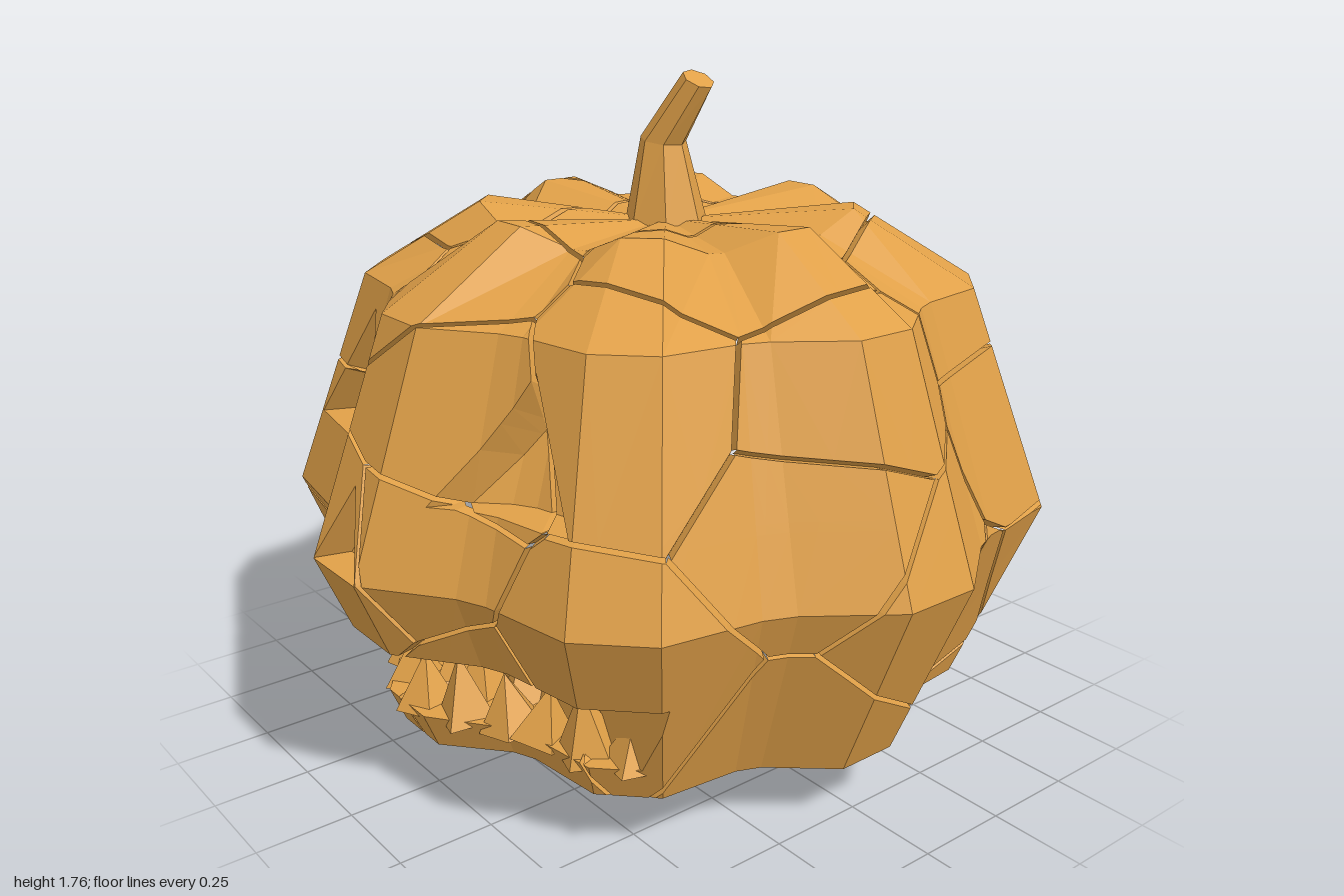
import * as THREE from 'three';

const V = (x, y, z) => new THREE.Vector3(x, y, z);
const material = new THREE.MeshStandardMaterial({ color: 0xe0a048, flatShading: true });
const EPS = 1e-6;

// seeded random numbers in 0..1
let seed = 7;
const rnd = () => (seed = (seed * 16807) % 2147483647) / 2147483647;

// a plane keeps the side where n.p <= c
const plane = (nx, ny, nz, c) => ({ n: V(nx, ny, nz), c });
const dist = (pl, p) => pl.n.dot(p) - pl.c;

// the part of a convex polygon on the kept side of a plane (sign -1 keeps the other side)
function clip(poly, pl, sign = 1) {
  const out = [];
  poly.forEach((a, i) => {
    const b = poly[(i + 1) % poly.length];
    const da = sign * dist(pl, a), db = sign * dist(pl, b);
    if (da <= EPS) out.push(a);
    if ((da < -EPS && db > EPS) || (da > EPS && db < -EPS)) out.push(a.clone().lerp(b, da / (da - db)));
  });
  return out.length > 2 ? out : [];
}

// edges of a polygon that lie in a plane
function edgesOn(poly, pl) {
  return poly
    .map((a, i) => [a, poly[(i + 1) % poly.length]])
    .filter((e) => e.every((p) => Math.abs(dist(pl, p)) < 1e-5));
}

// ribbed skin: eight lobes, each with a flat crest and a narrow valley
function skin() {
  const angles = [];
  for (let i = 0; i < 8; i++) {
    for (const [deg, valley] of [[-5.9, 0], [5.9, 0], [19.9, 1], [25.1, 1]]) {
      angles.push([((i * 45 + deg) * Math.PI) / 180, valley]);
    }
  }
  // radius, height, valley radius factor, valley height
  const rings = [
    [0.48, 0, 0.88, 0.04], [0.795, 0.16, 0.9, 0.17], [1.005, 0.66, 0.9, 0.66],
    [0.795, 1.235, 0.9, 1.235], [0.485, 1.425, 0.88, 1.375],
  ].map(([r, y, f, vy]) => angles.map(([a, v]) => {
    const q = v ? r * f : r;
    return V(q * Math.sin(a), v ? vy : y, q * Math.cos(a));
  }));
  const polys = [];
  const bottom = V(0, 0.03, 0), top = V(0, 1.38, 0), n = angles.length;
  for (let i = 0; i < n; i++) {
    const j = (i + 1) % n;
    polys.push([bottom, rings[0][j], rings[0][i]], [top, rings[4][i], rings[4][j]]);
    for (let k = 0; k < 4; k++) {
      const [a, b, c, d] = [rings[k][i], rings[k][j], rings[k + 1][j], rings[k + 1][i]];
      polys.push([a, b, c], [a, c, d]);
    }
  }
  return polys;
}

// sink the area inside a convex prism, adding walls down to its floor
function carve(polys, planes, sink) {
  const out = [];
  for (let poly of polys) {
    for (const pl of planes) {
      if (!poly.length) break;
      const rest = clip(poly, pl, -1);
      if (rest.length) out.push(rest);
      poly = clip(poly, pl);
    }
    if (!poly.length) continue;
    out.push(poly.map(sink));
    for (const pl of planes) {
      for (const [a, b] of edgesOn(poly, pl)) out.push([a, b, sink(b)], [a, sink(b), sink(a)]);
    }
  }
  return out;
}

// triangular opening with corners given counter-clockwise, tapering inwards
function carveTriangle(polys, pts, depth) {
  const planes = pts.map(([x, y], i) => {
    const [u, v] = pts[(i + 1) % 3];
    const l = Math.hypot(u - x, v - y), nx = (v - y) / l, ny = (x - u) / l;
    return plane(nx, ny, 0, nx * x + ny * y);
  });
  planes.push(plane(0, 0, -1, -0.3));
  const cx = (pts[0][0] + pts[1][0]) / 2, base = pts[0][1];
  return carve(polys, planes, (p) => V(cx + (p.x - cx) * 0.78, base + (p.y - base) * 0.8, p.z - depth));
}

function meshFrom(polys, name) {
  const pos = [], t = new THREE.Triangle();
  for (const p of polys) {
    for (let i = 1; i < p.length - 1; i++) {
      if (t.set(p[0], p[i], p[i + 1]).getArea() < 1e-8) continue;
      for (const q of [p[0], p[i], p[i + 1]]) pos.push(q.x, q.y, q.z);
    }
  }
  const g = new THREE.BufferGeometry();
  g.setAttribute('position', new THREE.Float32BufferAttribute(pos, 3));
  g.computeVertexNormals();
  const m = new THREE.Mesh(g, material);
  m.name = name;
  return m;
}

// split the skin into shards around scattered points, with V-shaped grooves between
function crack(polys, count, gap) {
  const group = new THREE.Group();
  group.name = 'crackedShell';
  const centre = V(0, 0.7, 0);
  const seeds = Array.from({ length: count }, (_, i) => {
    const h = 1 - (2 * i + 1) / count, a = i * 2.39996 + rnd() * 0.7, r = Math.sqrt(1 - h * h) * 0.9;
    return V(r * Math.sin(a), 0.72 + 0.7 * h + (rnd() - 0.5) * 0.16, r * Math.cos(a));
  });
  seeds.forEach((s, i) => {
    const planes = seeds.filter((o) => o !== s).map((o) => {
      const n = o.clone().sub(s).normalize();
      return { n, c: n.dot(o.clone().add(s).multiplyScalar(0.5)) - gap / 2 };
    });
    const shard = [];
    for (let poly of polys) {
      for (const pl of planes) if (poly.length) poly = clip(poly, pl);
      if (!poly.length) continue;
      shard.push(poly);
      for (const pl of planes) {
        const deep = (p) => p.clone().lerp(centre, 0.04).addScaledVector(pl.n, gap / 2);
        for (const [a, b] of edgesOn(poly, pl)) shard.push([b, a, deep(a), deep(b)]);
      }
    }
    if (shard.length) group.add(meshFrom(shard, 'shard' + i));
  });
  return group;
}

// jagged teeth standing along the lower lip
function makeTeeth() {
  const teeth = new THREE.Group();
  teeth.name = 'lowerTeeth';
  for (const [count, spread, inset] of [[11, 46, 0], [6, 24, 0.12]]) {
    for (let i = 0; i < count; i++) {
      const a = ((i / (count - 1)) * 2 - 1) * spread * Math.PI / 180;
      const r = 0.735 + 0.035 * Math.cos(8 * a) - inset;
      const h = 0.13 + rnd() * 0.06;
      const tooth = new THREE.Mesh(new THREE.ConeGeometry(0.085, h, 4 + (i % 2)), material);
      tooth.position.set(r * Math.sin(a), 0.235 + h / 2, r * Math.cos(a));
      tooth.rotation.set(0, a + rnd() * 1.5, (rnd() - 0.5) * 0.3);
      tooth.name = 'tooth';
      teeth.add(tooth);
    }
  }
  return teeth;
}

// bent, tapering stem
function makeStem() {
  const g = new THREE.CylinderGeometry(1, 1, 2, 7, 2);
  const rings = [[0, 1.37, 0, 0.11], [-0.005, 1.585, 0.005, 0.06], [0.092, 1.742, -0.03, 0.04]];
  const p = g.attributes.position;
  for (let i = 0; i < p.count; i++) {
    const k = Math.round(p.getY(i)) + 1;
    const [x, y, z, r] = rings[k];
    const tilt = [0, -0.15, -0.5][k] * p.getX(i) * r;
    p.setXYZ(i, x + p.getX(i) * r, y + tilt, z + p.getZ(i) * r);
  }
  g.computeVertexNormals();
  const stem = new THREE.Mesh(g, material);
  stem.name = 'stem';
  return stem;
}

export function createModel() {
  seed = 7;
  const model = new THREE.Group();
  model.name = 'carvedPumpkin';
  let shell = skin();
  // eyes
  shell = carveTriangle(shell, [[0.2, 0.85], [0.58, 0.855], [0.37, 1.17]], 0.1);
  shell = carveTriangle(shell, [[-0.58, 0.855], [-0.2, 0.85], [-0.37, 1.17]], 0.1);
  // nose
  shell = carveTriangle(shell, [[-0.105, 0.66], [0.105, 0.66], [0, 0.86]], 0.09);
  // mouth slot with a flat back
  shell = carve(shell,
    [plane(0, 1, 0, 0.455), plane(0, -1, 0, -0.255), plane(0, 0, -1, -0.56)],
    (p) => V(p.x, p.y, 0.56));
  model.add(crack(shell, 46, 0.012), makeTeeth(), makeStem());
  return model;
}
